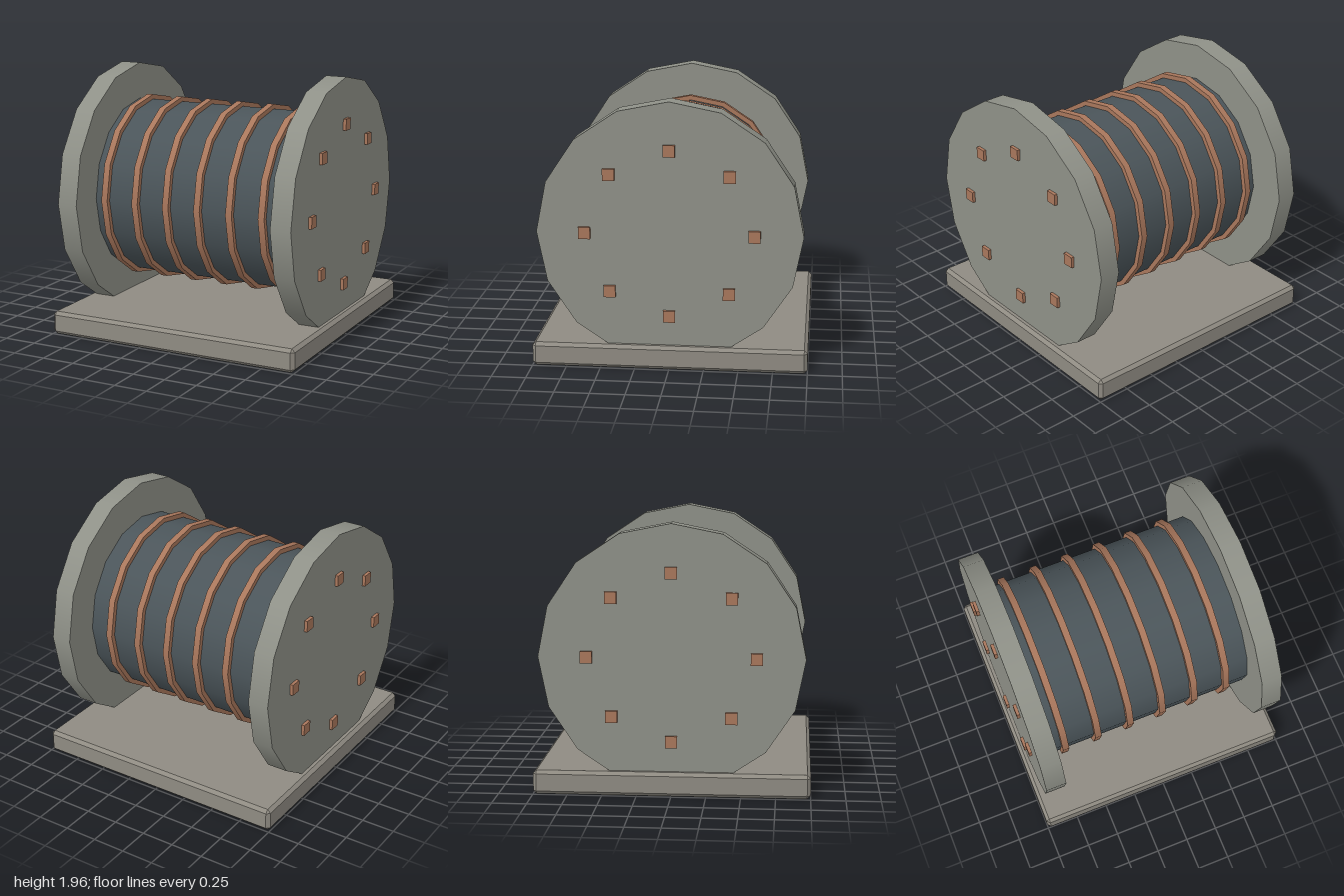
import * as THREE from 'three';
import { ConvexGeometry } from 'three/addons/geometries/ConvexGeometry.js';

const AXLE_Y = 1.004;
const paint = (color) => new THREE.MeshStandardMaterial({ color });

// Box with every edge cut at 45 degrees
function chamferedBox(w, h, d, c) {
  const points = [];
  for (const sx of [-1, 1]) for (const sy of [-1, 1]) for (const sz of [-1, 1]) {
    const x = w / 2, y = h / 2, z = d / 2;
    for (const [px, py, pz] of [[x, y - c, z - c], [x - c, y, z - c], [x - c, y - c, z]]) {
      points.push(new THREE.Vector3(sx * px, sy * py, sz * pz));
    }
  }
  return new ConvexGeometry(points);
}

export function createModel() {
  const model = new THREE.Group();
  model.name = 'cableSpool';
  const stone = paint(0x8f8b82);
  const flangeGrey = paint(0x8f9188);
  const steel = paint(0x4b555a);
  const copper = paint(0xa9775c);

  const add = (name, geometry, material, x, y, z = 0) => {
    const mesh = new THREE.Mesh(geometry, material);
    mesh.name = name;
    mesh.position.set(x, y, z);
    model.add(mesh);
  };
  // 16-sided disc lying along the x axis
  const disc = (radius, width) =>
    new THREE.CylinderGeometry(radius, radius, width, 16).rotateZ(Math.PI / 2);

  // Base slab
  add('base', chamferedBox(2, 0.176, 2, 0.025), stone, 0, 0.088);

  // Drum with its winding bands
  add('drum', disc(0.677, 1.6), steel, 0, AXLE_Y);
  for (let i = 0; i < 6; i++) {
    add('windingBand', disc(0.713, 0.05), copper, -0.699 + i * 0.261, AXLE_Y);
  }

  // End flanges, each with a circle of square bolts
  for (const side of [-1, 1]) {
    add('flange', disc(0.956, 0.158), flangeGrey, side * 0.871, AXLE_Y);
    for (let i = 0; i < 8; i++) {
      const a = (i * Math.PI) / 4;
      add('bolt', new THREE.BoxGeometry(0.05, 0.086, 0.086), copper,
        side * 0.949, AXLE_Y + 0.608 * Math.cos(a), 0.608 * Math.sin(a));
    }
  }
  return model;
}
